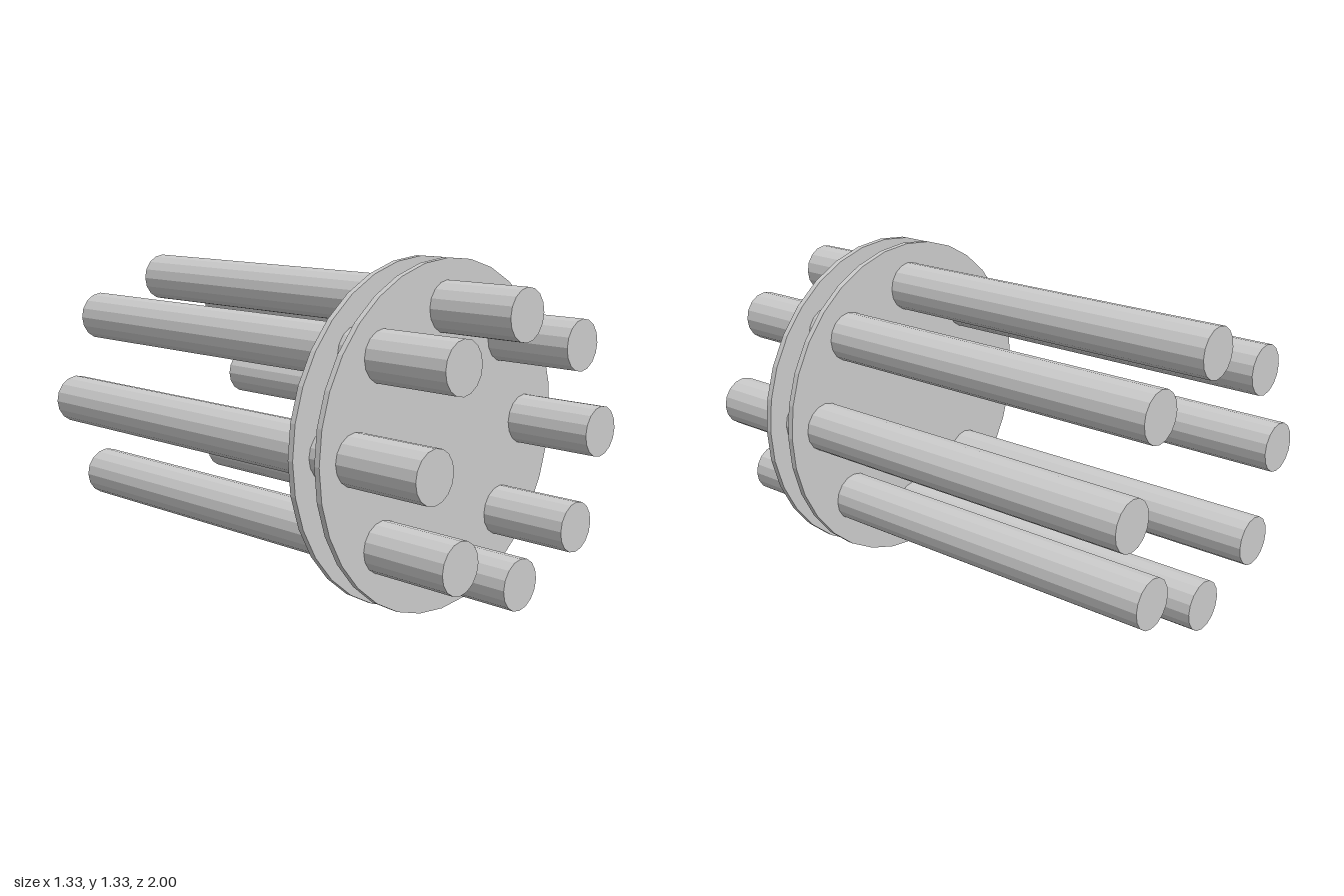
import * as THREE from 'three';

const CENTER_Y = 0.67;

export function createModel() {
  const model = new THREE.Group();
  model.name = 'rodBundle';
  const material = new THREE.MeshStandardMaterial({ color: 0xcccccc, flatShading: true });

  // Cylinder lying along z
  const addCylinder = (name, radius, length, sides, x, y, z) => {
    const geometry = new THREE.CylinderGeometry(radius, radius, length, sides).rotateX(Math.PI / 2);
    const mesh = new THREE.Mesh(geometry, material);
    mesh.name = name;
    mesh.position.set(x, y, z);
    model.add(mesh);
  };

  // Two thin support plates near the front
  addCylinder('frontPlate', 0.667, 0.024, 32, 0, CENTER_Y, 0.63);
  addCylinder('rearPlate', 0.667, 0.024, 32, 0, CENTER_Y, 0.502);

  // Ring of eight rods passing through both plates
  for (let i = 0; i < 8; i++) {
    const a = (i * Math.PI) / 4 + 0.004;
    addCylinder(`rod${i + 1}`, 0.098, 2, 16,
      0.489 * Math.cos(a) - 0.001, CENTER_Y + 0.489 * Math.sin(a), 0);
  }
  return model;
}
